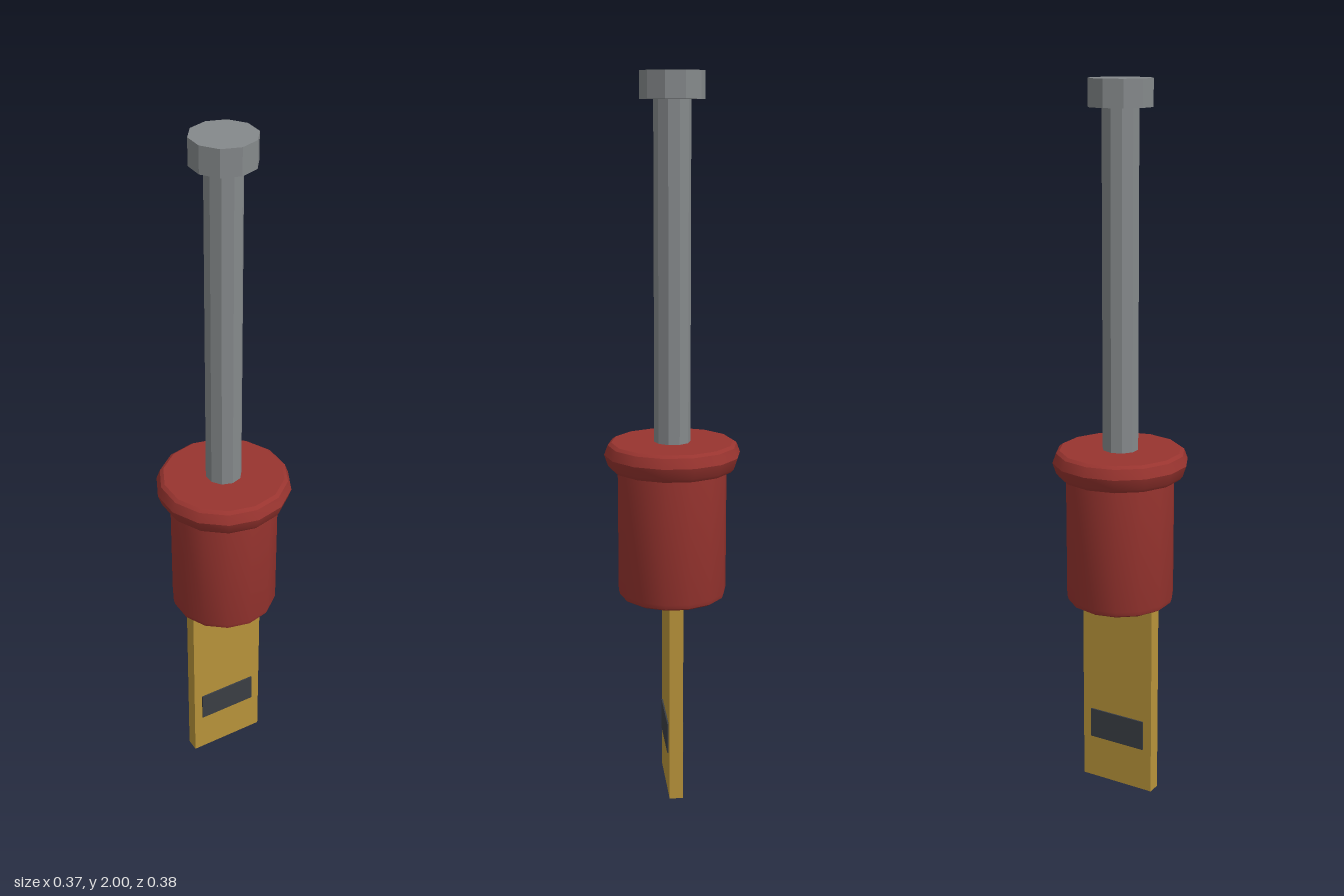
import * as THREE from 'three';
import { toCreasedNormals } from 'three/addons/utils/BufferGeometryUtils.js';

export function createModel() {
  const model = new THREE.Group();
  model.name = 'plungerTool';

  const steel = new THREE.MeshStandardMaterial({ color: 0x85898b, flatShading: true });
  const red = new THREE.MeshStandardMaterial({ color: 0x98342f });
  const brass = new THREE.MeshStandardMaterial({ color: 0xb8933a });
  const dark = new THREE.MeshStandardMaterial({ color: 0x3a3e44 });

  function add(name, geometry, material, y = 0) {
    const mesh = new THREE.Mesh(geometry, material);
    mesh.name = name;
    mesh.position.y = y;
    model.add(mesh);
  }

  // Fourteen-sided turned part: rounded around, crisp along the profile
  function turned(profile) {
    const points = profile.map(([r, y]) => new THREE.Vector2(r, y));
    return toCreasedNormals(new THREE.LatheGeometry(points, 14), 0.6);
  }

  // Ten-sided rod and its end cap
  add('rod', new THREE.CylinderGeometry(0.05, 0.05, 0.94, 10), steel, 1.46);
  add('rodCap', new THREE.CylinderGeometry(0.087, 0.087, 0.072, 10), steel, 1.964);

  // Handle body with bevelled ends
  add('handle', turned([
    [0, 0.57], [0.135, 0.57], [0.147, 0.577], [0.151, 0.59],
    [0.151, 0.95], [0, 0.95],
  ]), red);

  // Bulging flange on top of the handle
  add('flange', turned([
    [0, 0.94], [0.17, 0.94], [0.178, 0.95], [0.188, 0.98],
    [0.178, 1.007], [0.168, 1.014], [0, 1.014],
  ]), red);

  // Flat blade with a dark plate showing on both faces
  add('blade', new THREE.BoxGeometry(0.226, 0.58, 0.038), brass, 0.29);
  add('bladePlate', new THREE.BoxGeometry(0.174, 0.088, 0.046), dark, 0.172);

  return model;
}
